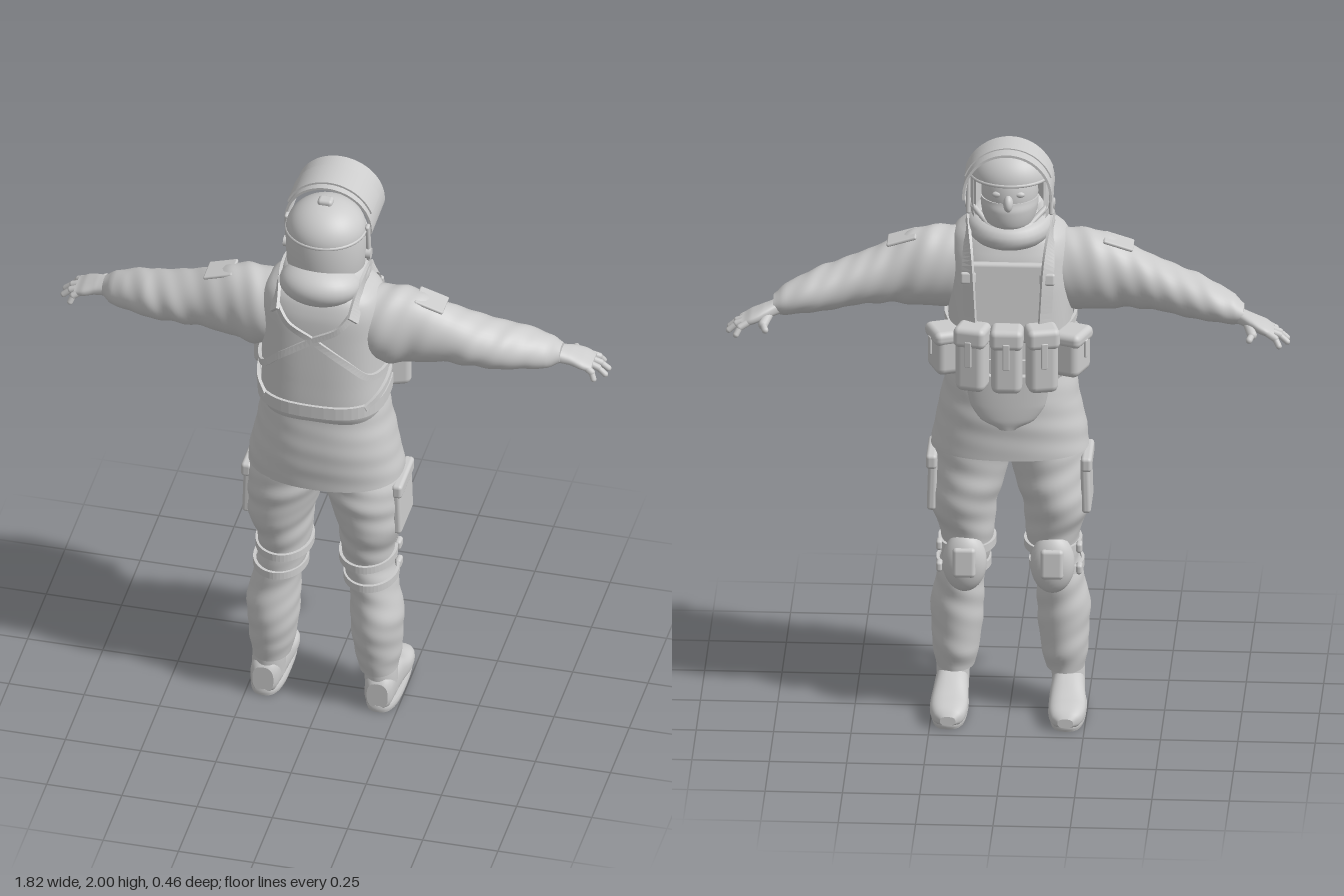
import * as THREE from 'three';
import { RoundedBoxGeometry } from 'three/addons/geometries/RoundedBoxGeometry.js';

const grey = new THREE.MeshStandardMaterial({ color: 0xcccccc });
const thin = new THREE.MeshStandardMaterial({ color: 0xcccccc, side: THREE.DoubleSide });
const V = (x, y, z) => new THREE.Vector3(x, y, z);
const PI = Math.PI;

function part(name, geo, pos = [0, 0, 0], rot = [0, 0, 0], scale = [1, 1, 1], mat = grey) {
  const m = new THREE.Mesh(geo, mat);
  m.name = name;
  m.position.set(...pos); m.rotation.set(...rot); m.scale.set(...scale);
  return m;
}
const box = (name, size, pos, rot, r = 0.012) =>
  part(name, new RoundedBoxGeometry(...size, 3, Math.min(r, Math.min(...size) * 0.45)), pos, rot);
const ball = (name, radii, pos, rot) => part(name, new THREE.SphereGeometry(1, 32, 22), pos, rot, radii);

// Skin over rings of points; capped at both ends unless the path is closed
function skin(rings, closed = false) {
  const n = rings[0].length, pos = [], idx = [];
  rings.forEach(r => r.forEach(p => pos.push(p.x, p.y, p.z)));
  const m = rings.length;
  for (let i = 0; i < (closed ? m : m - 1); i++) for (let j = 0; j < n; j++) {
    const i2 = (i + 1) % m, k = (j + 1) % n;
    const a = i * n + j, b = i * n + k, c = i2 * n + k, d = i2 * n + j;
    idx.push(a, b, d, b, c, d);
  }
  if (!closed) [0, m - 1].forEach(i => {
    const base = pos.length / 3, mid = V(0, 0, 0);
    rings[i].forEach(p => { pos.push(p.x, p.y, p.z); mid.addScaledVector(p, 1 / n); });
    pos.push(mid.x, mid.y, mid.z);
    for (let j = 0; j < n; j++) {
      const k = base + (j + 1) % n;
      if (i) idx.push(base + j, k, base + n); else idx.push(k, base + j, base + n);
    }
  });
  const g = new THREE.BufferGeometry();
  g.setAttribute('position', new THREE.Float32BufferAttribute(pos, 3));
  g.setIndex(idx);
  g.computeVertexNormals();
  return g;
}

// Smooth section at t from rings [t, u0, u1, v0, v1]
function section(rings, t) {
  let i = 0;
  while (i < rings.length - 2 && t > rings[i + 1][0]) i++;
  const at = k => rings[Math.max(0, Math.min(rings.length - 1, k))];
  const [a, b, c, d] = [at(i - 1), at(i), at(i + 1), at(i + 2)];
  const f = (t - b[0]) / (c[0] - b[0]);
  return [1, 2, 3, 4].map(k => b[k] + 0.5 * f * (c[k] - a[k] + f * (2 * a[k] - 5 * b[k] + 4 * c[k] - d[k]
    + f * (3 * (b[k] - c[k]) + d[k] - a[k]))));
}
// Point on a lofted surface. Axis x: u=y v=z; axis y: u=z v=x; axis z: u=x v=y
function around(rings, t, th, { axis = 'y', off = 0, p = 2, fold = 0 } = {}) {
  const [u0, u1, v0, v1] = section(rings, t);
  const f = 1 + fold * (0.6 * Math.sin(44 * t + 2.2 * Math.sin(th + 9 * t)) + 0.4 * Math.sin(83 * t + 3 * th));
  const e = w => Math.sign(w) * Math.abs(w) ** (2 / p);
  const u = (u0 + u1) / 2 + ((u1 - u0) / 2 * f + off) * e(Math.cos(th));
  const v = (v0 + v1) / 2 + ((v1 - v0) / 2 * f + off) * e(Math.sin(th));
  return axis === 'x' ? V(t, u, v) : axis === 'y' ? V(v, t, u) : V(u, v, t);
}
function loft(name, rings, opt = {}) {
  const { n = 36, steps = 24 } = opt, t0 = rings[0][0], t1 = rings[rings.length - 1][0], out = [];
  for (let i = 0; i <= steps; i++) {
    const t = t0 + (t1 - t0) * i / steps;
    out.push(Array.from({ length: n }, (_, j) => around(rings, t, 2 * PI * j / n, opt)));
  }
  return part(name, skin(out));
}
// Flat strap along points, facing away from the vertical line at (cx, cz)
function strap(name, pts, width, { closed = false, cx = 0, cz = 0.04, thick = 0.01 } = {}) {
  const curve = new THREE.CatmullRomCurve3(pts, closed), steps = 48, out = [];
  for (let i = 0; i < steps + (closed ? 0 : 1); i++) {
    const P = curve.getPoint(i / steps), T = curve.getTangent(i / steps);
    const N = V(P.x - cx, 0, P.z - cz);
    N.addScaledVector(T, -N.dot(T)).normalize();
    const B = T.clone().cross(N);
    out.push([[1, 1], [-1, 1], [-1, -1], [1, -1]].map(([a, b]) =>
      P.clone().addScaledVector(N, a * thick / 2).addScaledVector(B, b * width / 2)));
  }
  const g = skin(out, closed).toNonIndexed();
  g.computeVertexNormals();
  return part(name, g);
}
const hoop = (name, rings, t, w, opt, o) =>
  strap(name, Array.from({ length: 24 }, (_, j) => around(rings, t, 2 * PI * j / 24, opt)), w, { closed: true, ...o });
function capsule(name, a, b, r) {
  const d = b.clone().sub(a);
  const m = part(name, new THREE.CapsuleGeometry(r, d.length(), 5, 12), a.clone().add(b).multiplyScalar(0.5).toArray());
  m.quaternion.setFromUnitVectors(V(0, 1, 0), d.normalize());
  return m;
}
// Copy of a group reflected in x, with faces turned back outwards
function mirrored(group, name) {
  const out = new THREE.Group();
  out.name = name;
  group.children.forEach(c => {
    c.updateMatrix();
    const g = c.geometry.clone().applyMatrix4(c.matrix).scale(-1, 1, 1);
    const ix = g.index ? Array.from(g.index.array) : Array.from({ length: g.attributes.position.count }, (_, i) => i);
    for (let i = 0; i < ix.length; i += 3) [ix[i], ix[i + 1]] = [ix[i + 1], ix[i]];
    g.setIndex(ix);
    out.add(part(c.name, g, undefined, undefined, undefined, c.material));
  });
  return out;
}

const VEST = [[1.17, -.13, .19, -.19, .19], [1.22, -.14, .212, -.203, .203], [1.35, -.135, .212, -.2, .2],
  [1.5, -.12, .207, -.2, .2], [1.6, -.095, .2, -.198, .198], [1.66, -.07, .18, -.175, .175], [1.71, -.04, .14, -.1, .1]];
const SKIRT = [[.92, -.15, .2, -.255, .255], [1, -.15, .207, -.243, .243], [1.1, -.148, .21, -.222, .222], [1.24, -.135, .2, -.198, .198]];
const LEG = [[.14, -.05, .115, .115, .24], [.2, -.065, .132, .1, .25], [.35, -.07, .145, .085, .258], [.45, -.07, .132, .085, .24],
  [.55, -.085, .13, .06, .222], [.62, -.1, .138, .052, .228], [.72, -.125, .165, .04, .258], [.85, -.125, .18, .003, .255], [1, -.12, .18, -.03, .23]];
const ARM = [[.12, 1.41, 1.65, -.05, .15], [.22, 1.385, 1.66, -.06, .155], [.3, 1.39, 1.645, -.06, .135], [.4, 1.4, 1.605, -.06, .115],
  [.5, 1.395, 1.56, -.08, .105], [.6, 1.385, 1.53, -.1, .08], [.68, 1.38, 1.5, -.11, .04], [.73, 1.38, 1.475, -.11, .01], [.76, 1.39, 1.45, -.1, -.025]];

function buildArm() {
  const g = new THREE.Group();
  g.name = 'leftArm';
  g.add(loft('sleeve', ARM, { axis: 'x', steps: 60, fold: 0.035 }));
  g.add(loft('palm', [[.73, 1.39, 1.44, -.095, -.03], [.79, 1.378, 1.422, -.13, -.04], [.83, 1.366, 1.405, -.145, -.04],
    [.86, 1.362, 1.388, -.14, -.05]], { axis: 'x', p: 2.5 }));
  [[.885, -.155, -.132], [.91, -.115, -.108], [.908, -.08, -.084], [.878, -.045, -.06]].forEach(([x, z, z0]) => {
    const mid = V(.845 + (x - .845) * .5, 1.366, (z + z0) / 2);
    g.add(capsule('finger', V(.835, 1.382, z0), mid, .0115), capsule('fingertip', mid, V(x - .008, 1.345, z), .01));
  });
  g.add(capsule('thumb', V(.775, 1.395, -.1), V(.79, 1.378, -.145), .016), capsule('thumbTip', V(.79, 1.378, -.145), V(.782, 1.37, -.172), .011));
  // Upper sleeve pocket
  g.add(box('sleevePocket', [.1, .012, .09], [.35, 1.622, .03], [0, 0, -.3]));
  return g;
}

function buildLeg() {
  const g = new THREE.Group();
  g.name = 'leftLeg';
  g.add(loft('trouserLeg', LEG, { steps: 70, fold: 0.03 }));
  g.add(box('thighPocket', [.03, .18, .17], [.248, .8, .01], [0, 0, .03]), box('pocketFlap', [.036, .05, .18], [.25, .88, .01]));
  // Knee pad with two straps
  g.add(ball('kneePad', [.072, .1, .05], [.142, .54, -.082], [.08, 0, 0]));
  g.add(box('kneePlate', [.075, .1, .03], [.142, .55, -.118], [.08, 0, 0], .014));
  [.505, .58].forEach(y => g.add(hoop('kneeStrap', LEG, y, .026, { off: .006 }, { cx: .145, cz: .03 }),
    box('strapBuckle', [.02, .034, .04], [.226, y, -.035])));
  // Boot
  g.add(loft('bootShaft', [[.05, -.03, .105, .135, .24], [.12, -.02, .108, .132, .24], [.2, -.02, .11, .13, .235]]));
  g.add(loft('bootFoot', [[-.205, .165, .215, .015, .045], [-.19, .143, .237, .008, .064], [-.15, .132, .25, .006, .078], [-.1, .13, .252, .006, .088],
    [-.03, .132, .245, .006, .125], [.05, .137, .24, .006, .14], [.1, .145, .235, .006, .13], [.112, .155, .225, .015, .11]], { axis: 'z', p: 2.6 }));
  g.add(loft('sole', [[0, -.2, .113, .135, .247], [.012, -.205, .115, .132, .25], [.024, -.203, .113, .134, .248]], { p: 2.8, steps: 4 }));
  return g;
}

function pouch(g, x, y, z, w, h, d, turn) {
  const at = (dx, dy, dz) => [x + dx * Math.cos(turn) + dz * Math.sin(turn), y + dy, z - dx * Math.sin(turn) + dz * Math.cos(turn)];
  g.add(box('pouch', [w, h, d], at(0, 0, 0), [0, turn, 0], .025));
  g.add(box('pouchFlap', [w + .008, h * .32, d + .01], at(0, h * .36, -.002), [0, turn, 0], .02));
  g.add(box('pouchTab', [.022, h * .4, .008], at(0, h * .12, -d / 2 - .006), [0, turn, 0], .003));
}

function buildTorso() {
  const g = new THREE.Group();
  g.name = 'torso';
  g.add(loft('jacketSkirt', SKIRT, { p: 2.3, steps: 40, fold: 0.008, n: 48 }));
  g.add(loft('vest', VEST, { p: 2.7, steps: 40, n: 56 }));
  g.add(loft('groinFlap', [[1.03, -.158, -.12, -.03, .03], [1.06, -.164, -.11, -.085, .085], [1.11, -.166, -.1, -.12, .12], [1.22, -.165, -.1, -.14, .14]], {}));
  g.add(box('chestPlate', [.27, .27, .03], [0, 1.46, -.112], [.1, 0, 0], .014));
  g.add(hoop('waistBelt', VEST, 1.25, .045, { off: .006, p: 2.7 }));
  // Crossed back harness running round to the pouches
  const opt = { off: .01, p: 2.7 };
  [1, -1].forEach(s => {
    g.add(strap('crossStrap', [[1.64, -.6], [1.58, -.3], [1.53, 0], [1.45, .42], [1.38, .9], [1.36, 1.5], [1.35, 2.2]]
      .map(([y, a]) => around(VEST, y, a * s, opt)), .022));
    g.add(strap('sideStrap', [[1.26, .8], [1.29, 1.2], [1.31, 1.6], [1.32, 2.2]].map(([y, a]) => around(VEST, y, a * s, opt)), .022));
    g.add(strap('shoulderStrap', [V(s * .13, 1.62, .2), V(s * .135, 1.69, .1), V(s * .135, 1.69, 0), V(s * .13, 1.6, -.112), V(s * .12, 1.4, -.14)], .045));
    g.add(box('strapBuckle', [.05, .04, .018], [s * .128, 1.55, -.13], [.15, 0, 0]));
    pouch(g, s * .205, 1.285, -.085, .12, .15, .09, -s * 1.2);
    pouch(g, s * .112, 1.29, -.168, .1, .22, .085, -s * .25);
  });
  pouch(g, 0, 1.29, -.182, .1, .22, .085, 0);
  // Folded hood and scarf
  g.add(ball('hood', [.135, .075, .115], [0, 1.69, .105], [-.2, 0, 0]));
  g.add(part('hoodRoll', new THREE.TorusGeometry(.1, .042, 14, 40), [0, 1.69, .03], [PI / 2 - .12, 0, 0], [1.02, 1.15, 1]));
  g.add(part('scarf', new THREE.TorusGeometry(.065, .04, 14, 36), [0, 1.7, -.015], [PI / 2 - .25, 0, 0]));
  return g;
}

function arch(r0, r1, a0, a1, depth) {
  const s = new THREE.Shape();
  s.absarc(0, 0, r1, a0, a1, false);
  s.absarc(0, 0, r0, a1, a0, true);
  return new THREE.ExtrudeGeometry(s, { depth, bevelEnabled: false, curveSegments: 36 });
}

function buildHead() {
  const g = new THREE.Group();
  g.name = 'head';
  g.add(ball('face', [.092, .125, .1], [0, 1.81, -.005]));
  g.add(loft('mask', [[1.68, -.085, .05, -.06, .06], [1.72, -.11, .06, -.08, .08], [1.77, -.115, .07, -.092, .092], [1.8, -.106, .07, -.093, .093]]));
  g.add(ball('nose', [.016, .028, .02], [0, 1.802, -.106], [.3, 0, 0]));
  [1, -1].forEach(s => g.add(ball('eye', [.017, .01, .01], [s * .036, 1.828, -.091])));
  // Helmet: dome plus open-faced side and neck guard
  g.add(part('helmetDome', new THREE.SphereGeometry(1, 40, 16, 0, 2 * PI, 0, PI / 2), [0, 1.855, .03], [0, 0, 0], [.13, .105, .127], thin));
  const guard = [[.118, 1.71], [.126, 1.71], [.13, 1.78], [.13, 1.856], [.12, 1.856], [.12, 1.78], [.118, 1.71]].map(p => new THREE.Vector2(...p));
  g.add(part('helmetGuard', new THREE.LatheGeometry(guard, 40, -2, 4), [0, 0, .03], [0, 0, 0], [1, 1, .977], thin));
  g.add(part('browRim', new THREE.TorusGeometry(.128, .006, 8, 48), [0, 1.857, .03], [PI / 2, 0, 0], [1, .977, 1]));
  // Raised visor and its pivots
  g.add(part('visor', arch(.137, .145, -.1, PI + .1, .175), [0, 1.852, -.172], [.03, 0, 0]));
  g.add(part('visorFrame', arch(.14, .15, .35, PI - .35, .1), [0, 1.849, -.115]));
  g.add(box('visorMount', [.05, .025, .04], [0, 1.962, .035]));
  [1, -1].forEach(s => {
    g.add(box('visorArm', [.014, .15, .025], [s * .134, 1.8, .005], [.15, 0, 0]));
    g.add(part('visorPivot', new THREE.CylinderGeometry(.018, .018, .02, 20), [s * .135, 1.76, .01], [0, 0, PI / 2]));
    g.add(capsule('chinStrap', V(s * .115, 1.75, -.01), V(s * .05, 1.7, -.085), .009));
  });
  return g;
}

export function createModel() {
  const model = new THREE.Group();
  model.name = 'armouredFigure';
  const arm = buildArm(), leg = buildLeg();
  model.add(buildTorso(), buildHead(), arm, mirrored(arm, 'rightArm'), leg, mirrored(leg, 'rightLeg'));
  return model;
}
